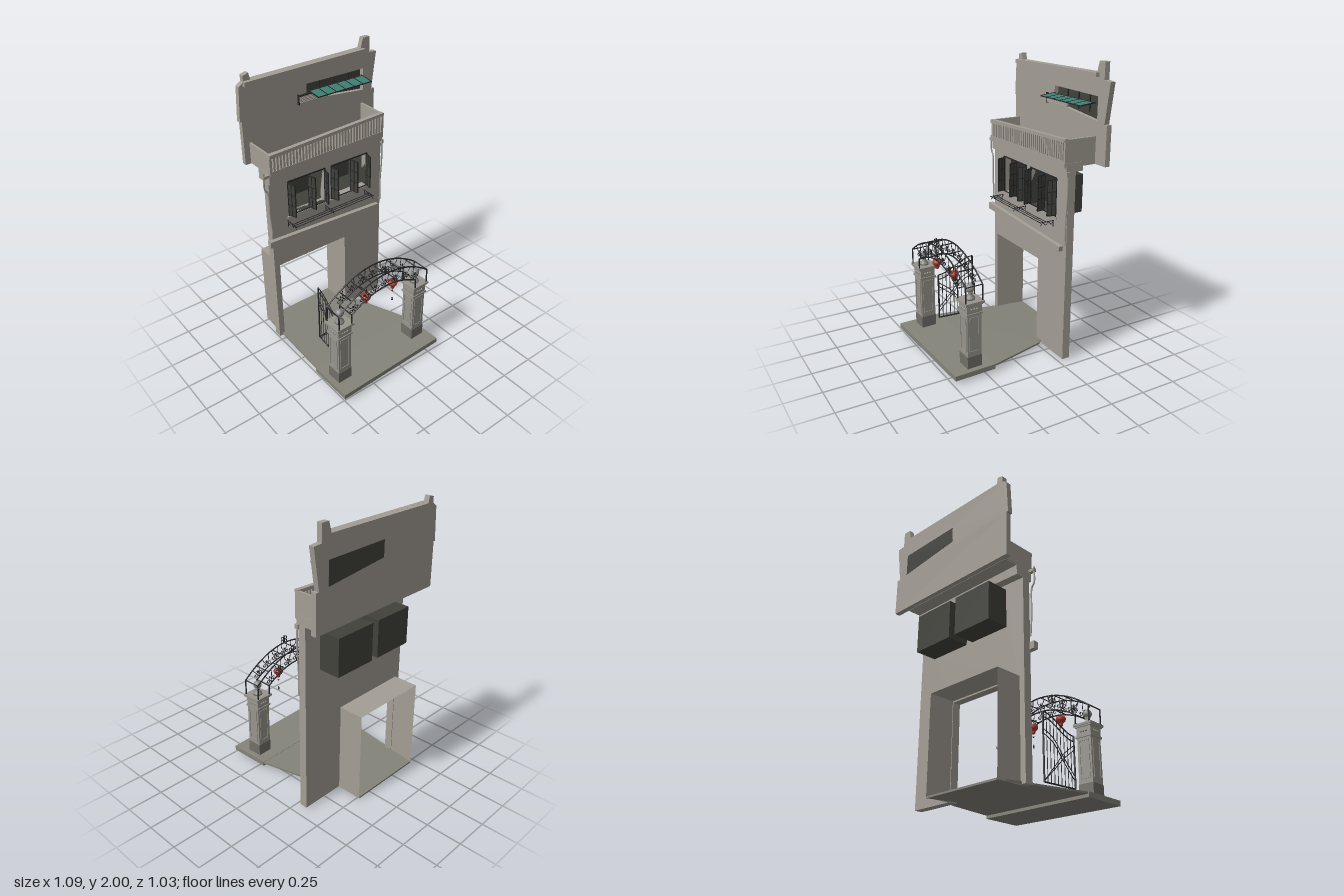
import * as THREE from 'three';

const mat = (name, color, side = THREE.FrontSide) => {
  const m = new THREE.MeshStandardMaterial({ color, side });
  m.name = name;
  return m;
};

export function createModel() {
  const wall = mat('plaster', 0xa39e95, THREE.DoubleSide);
  const paving = mat('paving', 0x85847a);
  const stone = mat('pillar stone', 0x96948c);
  const plinthMat = mat('dark stone', 0x716f68);
  const ballMat = mat('ball grey', 0x8a8a88);
  const dark = mat('window dark', 0x42423c, THREE.DoubleSide);
  const iron = mat('iron', 0x26272a);
  const teal = mat('teal awning', 0x3f7f72, THREE.DoubleSide);
  const red = mat('lantern red', 0xa83a30);

  const model = new THREE.Group();
  const V = (x, y, z) => new THREE.Vector3(x, y, z);
  const group = (name, parent = model) => {
    const g = new THREE.Group();
    g.name = name;
    parent.add(g);
    return g;
  };
  const add = (name, geo, m, parent = model) => {
    const mesh = new THREE.Mesh(geo, m);
    mesh.name = name;
    parent.add(mesh);
    return mesh;
  };
  const box = (name, x0, x1, y0, y1, z0, z1, m, parent) =>
    add(name, new THREE.BoxGeometry(x1 - x0, y1 - y0, z1 - z0)
      .translate((x0 + x1) / 2, (y0 + y1) / 2, (z0 + z1) / 2), m, parent);
  const toPts = (pts) => pts.map((p) => new THREE.Vector2(p[0], p[1]));
  // outline in x,y extruded from z0 to z1
  const prism = (name, pts, z0, z1, m, parent, holes = []) => {
    const s = new THREE.Shape(toPts(pts));
    holes.forEach((h) => s.holes.push(new THREE.Path(toPts(h))));
    const geo = new THREE.ExtrudeGeometry(s, { depth: z1 - z0, bevelEnabled: false });
    return add(name, geo.translate(0, 0, z0), m, parent);
  };
  // outline in x,z extruded upward from y0
  const plate = (pts, y0, h) => new THREE.ExtrudeGeometry(
    new THREE.Shape(toPts(pts.map(([x, z]) => [x, -z]))), { depth: h, bevelEnabled: false })
    .rotateX(-Math.PI / 2).translate(0, y0, 0);
  const rod = (name, a, b, r, m, parent) => {
    const d = b.clone().sub(a);
    const mesh = add(name, new THREE.CylinderGeometry(r, r, d.length(), 6), m, parent);
    mesh.position.copy(a).addScaledVector(d, 0.5);
    mesh.quaternion.setFromUnitVectors(V(0, 1, 0), d.normalize());
    return mesh;
  };
  const bend = (name, pts, r, m, parent, seg = 24) =>
    add(name, new THREE.TubeGeometry(new THREE.CatmullRomCurve3(pts), seg, r, 5), m, parent);
  const rect = (x0, x1, y0, y1) => [[x0, y0], [x1, y0], [x1, y1], [x0, y1]];
  const range = (n, f) => Array.from({ length: n }, (_, i) => f(i, n > 1 ? i / (n - 1) : 0));
  // box with some faces left out (0 +x, 1 -x, 2 +y, 3 -y, 4 +z, 5 -z)
  const openBox = (name, x0, x1, y0, y1, z0, z1, skip, m, parent) => {
    const mesh = box(name, x0, x1, y0, y1, z0, z1, m, parent);
    const idx = Array.from(mesh.geometry.index.array);
    mesh.geometry.setIndex(idx.filter((_, i) => !skip.includes(Math.floor(i / 6))));
    mesh.geometry.clearGroups();
  };

  // Ground: level slab under the gate and a ramp running through the doorway
  add('gateSlab', plate([[-0.51, 0.195], [-0.505, 0.515], [0.345, 0.487], [0.335, 0.19]], 0.028, 0.034), paving);
  const ramp = plate([[-0.455, -0.515], [-0.475, -0.25], [-0.505, 0.2], [0.335, 0.195], [0.19, -0.25], [0.105, -0.33], [0.105, -0.515]], 0, 0.012);
  const rp = ramp.attributes.position;
  for (let i = 0; i < rp.count; i++) rp.setY(i, rp.getY(i) + 0.068 * (rp.getZ(i) + 0.515));
  ramp.computeVertexNormals();
  add('ramp', ramp, paving);

  // Front wall with doorway and two window openings
  const windows = [[-0.355, -0.057], [-0.005, 0.305]];
  prism('frontWall', [[-0.497, 0.01], [-0.455, 0.01], [-0.455, 0.635], [0.105, 0.635], [0.105, 0.01],
    [0.43, 0.01], [0.43, 1.35], [-0.497, 1.35]], -0.335, -0.28, wall, model,
  windows.map(([a, b]) => rect(a, b, 1.0, 1.26)));
  openBox('doorPassage', -0.46, 0.11, 0.005, 0.645, -0.515, -0.33, [3, 4, 5], wall);
  prism('lowerCornice', [[-0.53, 0.82], [0.39, 0.79], [0.395, 0.825], [-0.53, 0.868]], -0.285, -0.25, wall);
  box('windowSill', -0.37, 0.32, 0.985, 1.0, -0.28, -0.27, wall);

  // Windows: dark rooms and open glazed leaves
  const win = group('windows');
  windows.forEach(([a, b]) => {
    openBox('windowRecess', a, b, 1.0, 1.26, -0.487, -0.282, [4], dark, win);
    [[a, 0.018], [(a + b) / 2 + 0.015, 0.014], [b, -0.016]].forEach(([x, dx]) => {
      const leaf = group('windowLeaf', win);
      leaf.position.set(x, 1.01, -0.28);
      leaf.rotation.y = Math.atan2(-0.062, dx);
      box('pane', 0, 0.062, 0, 0.24, -0.002, 0.002, dark, leaf);
      [0, 0.031, 0.062].forEach((u) => box('stile', u - 0.003, u + 0.003, 0, 0.24, -0.004, 0.004, iron, leaf));
      [0, 0.08, 0.16, 0.24].forEach((v) => box('rail', 0, 0.062, v - 0.003, v + 0.003, -0.004, 0.004, iron, leaf));
    });
    [a, b].forEach((x) => box('jamb', x - 0.004, x + 0.004, 1.0, 1.26, -0.285, -0.274, iron, win));
    [1.0, 1.26].forEach((y) => box('frameRail', a, b, y - 0.004, y + 0.004, -0.285, -0.274, iron, win));
  });

  // Drying rack below the windows
  const rack = group('dryingRack');
  [-0.175, -0.198, -0.218].forEach((z) => rod('rackRail', V(-0.38, 0.968, z), V(0.29, 0.968, z), 0.0025, iron, rack));
  [-0.37, -0.06, 0.283].forEach((x) => {
    rod('rackArm', V(x, 0.968, -0.28), V(x, 0.968, -0.172), 0.003, iron, rack);
    range(5, (i) => rod('rackBrace', V(x, i % 2 ? 0.945 : 0.966, -0.28 + i * 0.021),
      V(x, i % 2 ? 0.966 : 0.945, -0.259 + i * 0.021), 0.002, iron, rack));
    rod('rackPost', V(x, 0.968, -0.275), V(x, 0.925, -0.275), 0.003, iron, rack);
  });

  // Balcony
  const balcony = group('balcony');
  prism('beam', [[-0.497, 1.29], [0.43, 1.325], [0.43, 1.385], [-0.497, 1.37]], -0.39, -0.262, wall, balcony);
  box('balconyFloor', -0.49, 0.425, 1.355, 1.385, -0.485, -0.25, wall, balcony);
  prism('bottomRail', [[-0.49, 1.37], [0.425, 1.38], [0.425, 1.4], [-0.49, 1.385]], -0.268, -0.25, wall, balcony);
  prism('topRail', [[-0.495, 1.48], [0.425, 1.52], [0.425, 1.54], [-0.495, 1.505]], -0.275, -0.245, wall, balcony);
  range(38, (i, t) => {
    const x = -0.483 + t * 0.9;
    box('baluster', x - 0.007, x + 0.007, 1.38, 1.485 + t * 0.038, -0.268, -0.252, wall, balcony);
  });
  box('sideWallRight', -0.495, -0.48, 1.36, 1.505, -0.485, -0.25, wall, balcony);
  box('sideWallLeft', 0.412, 0.427, 1.36, 1.535, -0.485, -0.25, wall, balcony);

  // Drain pipes at both edges of the wall
  bend('drainPipeRight', [V(-0.532, 1.38, -0.272), V(-0.53, 1.26, -0.272), V(-0.512, 1.24, -0.272), V(-0.505, 1.05, -0.272), V(-0.495, 0.91, -0.272)], 0.006, wall, model);
  bend('drainPipeLeft', [V(0.432, 1.33, -0.272), V(0.436, 1.18, -0.272), V(0.425, 1.0, -0.272), V(0.425, 0.84, -0.272)], 0.006, wall, model);
  box('pipeHeadRight', -0.54, -0.5, 1.345, 1.365, -0.285, -0.26, wall);
  box('pipeHeadLeft', 0.425, 0.442, 1.3, 1.33, -0.285, -0.26, wall);

  // Upper wall, stepped outline, with a strip window
  const strip = [[-0.04, 1.68], [0.43, 1.63], [0.43, 1.785], [-0.04, 1.79]];
  prism('upperWall', [[-0.535, 1.357], [0.53, 1.357], [0.53, 1.62], [0.505, 1.62], [0.545, 1.885], [0.485, 1.89],
    [0.485, 2.0], [0.43, 2.0], [0.41, 1.93], [-0.45, 1.92], [-0.46, 1.967], [-0.5, 1.955], [-0.5, 1.915],
    [-0.535, 1.89], [-0.548, 1.66], [-0.535, 1.66]], -0.518, -0.482, wall, model, [strip]);
  prism('upperCornice', [[-0.505, 1.89], [0.432, 1.903], [0.432, 1.93], [-0.505, 1.92]], -0.484, -0.457, wall);
  prism('stripWindow', strip, -0.519, -0.511, dark);
  [0.08, 0.2, 0.32].forEach((x) => box('stripMullion', x - 0.003, x + 0.003, 1.67, 1.787, -0.511, -0.503, iron));

  // Awning with ribs, and a louvred panel beside it
  const awning = group('awning');
  awning.position.set(0.19, 1.737, -0.415);
  awning.rotation.x = 0.1;
  box('awningSheet', -0.22, 0.22, -0.002, 0.002, -0.05, 0.05, teal, awning);
  range(7, (i, t) => box('awningRib', -0.223 + t * 0.44, -0.217 + t * 0.44, -0.004, 0.004, -0.065, 0.052, iron, awning));
  [-0.05, 0.05].forEach((z) => box('awningEdge', -0.22, 0.22, -0.003, 0.003, z - 0.002, z + 0.002, iron, awning));
  const louvre = group('louvre');
  box('louvreBack', -0.11, 0.128, 1.672, 1.722, -0.478, -0.47, wall, louvre);
  range(5, (i) => box('slat', -0.11, 0.128, 1.673 + i * 0.01, 1.68 + i * 0.01, -0.471, -0.463, wall, louvre));
  box('louvreTop', -0.115, 0.13, 1.722, 1.729, -0.48, -0.462, iron, louvre);
  box('louvrePost', -0.116, -0.109, 1.665, 1.735, -0.48, -0.464, iron, louvre);

  // Gateway: pillars, arch and lanterns share one slightly turned frame
  const gate = group('gateway');
  gate.position.set(-0.085, 0, 0.336);
  gate.rotation.y = 0.033;
  [-1, 1].forEach((s) => {
    const p = group(s < 0 ? 'rightPillar' : 'leftPillar', gate);
    p.position.x = s * 0.332;
    const block = (name, h, y0, y1, m) => box(name, -h, h, y0, y1, -h, h, m, p);
    block('plinth', 0.054, 0.06, 0.145, plinthMat);
    block('shaft', 0.052, 0.145, 0.44, stone);
    block('moulding', 0.06, 0.44, 0.453, stone);
    block('capBlock', 0.054, 0.453, 0.508, stone);
    block('capStep', 0.062, 0.508, 0.517, stone);
    block('cap', 0.069, 0.517, 0.532, stone);
    range(4, (i) => {
      const side = group('pillarFace', p);
      side.rotation.y = i * Math.PI / 2;
      prism('panelFrame', rect(-0.038, 0.038, 0.175, 0.425), 0.052, 0.056, stone, side, [rect(-0.031, 0.031, 0.183, 0.417)]);
      [-0.02, 0, 0.02].forEach((x) => add('rosette', new THREE.SphereGeometry(0.009, 8, 6).translate(x, 0.481, 0.052), stone, side));
    });
    add('ballNeck', new THREE.LatheGeometry(toPts([[0, 0.532], [0.032, 0.532], [0.03, 0.545], [0.016, 0.56], [0.014, 0.575], [0.02, 0.582], [0, 0.584]]), 16), ballMat, p);
    add('ball', new THREE.SphereGeometry(0.029, 20, 14).translate(0, 0.606, 0), ballMat, p);
  });

  // Iron arch: a front and a back face joined by cross bars
  const arch = group('arch', gate);
  const upY = (x) => 0.79 - 0.15 * (x / 0.385) ** 2;
  const lowY = (x) => 0.69 - 0.09 * (x / 0.28) ** 2;
  [-0.062, 0.062].forEach((z) => {
    bend('upperArc', range(13, (i, t) => V(-0.385 + t * 0.77, upY(-0.385 + t * 0.77), z)), 0.005, iron, arch, 40);
    bend('lowerArc', range(13, (i, t) => V(-0.28 + t * 0.56, lowY(-0.28 + t * 0.56), z)), 0.005, iron, arch, 40);
    [-1, 1].forEach((s) => {
      rod('outerPost', V(s * 0.385, 0.53, z), V(s * 0.385, 0.64, z), 0.005, iron, arch);
      rod('innerPost', V(s * 0.28, 0.53, z), V(s * 0.28, 0.605, z), 0.005, iron, arch);
    });
    // scrollwork between the arcs
    range(7, (i, t) => {
      const x = -0.27 + t * 0.54;
      const motif = group('scroll', arch);
      motif.position.set(x, (upY(x) + lowY(x)) / 2, z);
      motif.rotation.z = -x * 1.3;
      [-1, 1].forEach((s) => {
        bend('stem', [V(0, -0.045, 0), V(s * 0.01, -0.01, 0), V(s * 0.026, 0.018, 0), V(s * 0.03, 0.045, 0)], 0.0025, iron, motif, 10);
        bend('curl', range(9, (j, u) => V(s * (0.024 + 0.015 * (1 - u * 0.6) * Math.cos(u * 7)),
          -0.024 + 0.015 * (1 - u * 0.6) * Math.sin(u * 7), 0)), 0.0025, iron, motif, 18);
      });
      add('bud', new THREE.SphereGeometry(0.007, 8, 6).scale(1, 1.6, 0.7), iron, motif);
    });
  });
  [-0.385, -0.28, -0.19, -0.115, 0, 0.12, 0.28, 0.385].forEach((x) =>
    rod('crossBar', V(x, upY(x), -0.062), V(x, upY(x), 0.062), 0.004, iron, arch));
  [-0.28, -0.115, 0.12, 0.28].forEach((x) =>
    rod('lowerCrossBar', V(x, lowY(x), -0.062), V(x, lowY(x), 0.062), 0.004, iron, arch));
  // crest on top of the front face
  [-1, 1].forEach((s) => [0.803, 0.828].forEach((y) =>
    add('crestRing', new THREE.TorusGeometry(0.012, 0.003, 5, 14).translate(s * 0.016, y, 0.062), iron, arch)));
  rod('crestStem', V(0, 0.785, 0.062), V(0, 0.85, 0.062), 0.004, iron, arch);

  // Lanterns
  [-0.115, 0.122].forEach((x, i) => {
    const lantern = group('lantern', gate);
    lantern.position.set(x, 0.622, 0.004);
    add('lanternBody', new THREE.LatheGeometry(toPts([[0, -0.024], [0.016, -0.024], [0.03, -0.008], [0.034, 0.006], [0.03, 0.018], [0.016, 0.024], [0, 0.024]]), 20), red, lantern);
    add('lanternFoot', new THREE.CylinderGeometry(0.015, 0.012, 0.018, 14).translate(0, -0.033, 0), red, lantern);
    rod('lanternCord', V(0, 0.02, 0), V(0, lowY(x) - 0.622, 0), 0.002, iron, lantern);
    if (i) {
      [-0.065, -0.13].forEach((y) => add('tasselBead', new THREE.SphereGeometry(0.006, 8, 6).translate(0, y, 0), iron, lantern));
      add('tassel', new THREE.ConeGeometry(0.006, 0.03, 8).translate(0, -0.13, 0), iron, lantern);
    }
  });

  // Open gate leaf
  const leaf = group('gateLeaf');
  leaf.position.set(-0.36, 0, 0.265);
  leaf.rotation.y = 1.485;
  const W = 0.264;
  const top = (u) => 0.45 + 0.105 * THREE.MathUtils.smoothstep(u, 0, W);
  [0, 0.035].forEach((d) => bend('topRail', range(9, (i, t) => V(t * W, top(t * W) - d, 0)), 0.004, iron, leaf));
  rod('bottomRail', V(0, 0.113, 0), V(W, 0.113, 0), 0.005, iron, leaf);
  range(10, (i, t) => rod('gateBar', V(t * W, 0.113, 0), V(t * W, top(t * W), 0), i % 9 ? 0.0025 : 0.006, iron, leaf));
  [0, 0.03].forEach((d) => {
    bend('risingArc', [V(0, 0.16 + d, 0), V(0.09, 0.26 + d, 0), V(0.18, 0.37 + d, 0), V(W, 0.415 + d, 0)], 0.003, iron, leaf);
    bend('fallingArc', [V(0, 0.36 + d, 0), V(0.09, 0.29 + d, 0), V(0.18, 0.2 + d / 2, 0), V(W, 0.118, 0)], 0.003, iron, leaf);
  });

  return model;
}
